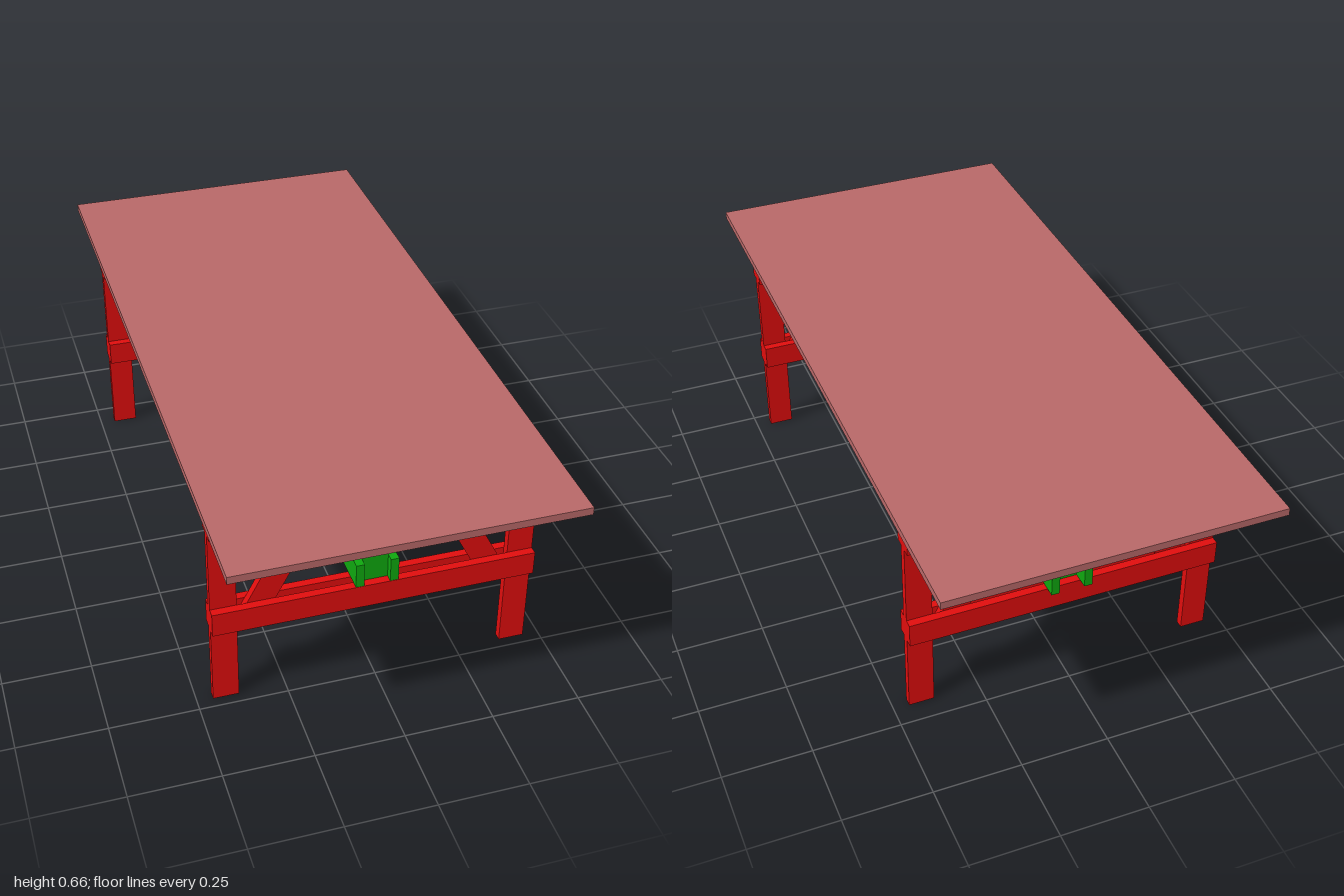
import * as THREE from 'three';

const T = 0.0233; // board thickness
const topMat = new THREE.MeshStandardMaterial({ color: 0xb86868 });
const red = new THREE.MeshStandardMaterial({ color: 0xe00d0d });
const green = new THREE.MeshStandardMaterial({ color: 0x0fa80f });

// Box given by its minimum and maximum on each axis
function board(parent, name, mat, [x0, x1], [y0, y1], [z0, z1]) {
  const mesh = new THREE.Mesh(new THREE.BoxGeometry(x1 - x0, y1 - y0, z1 - z0), mat);
  mesh.position.set((x0 + x1) / 2, (y0 + y1) / 2, (z0 + z1) / 2);
  mesh.name = name;
  parent.add(mesh);
  return mesh;
}

// Flat outline in xy, extruded evenly about z = 0
function slab(name, mat, points, depth) {
  const shape = new THREE.Shape(points.map(([x, y]) => new THREE.Vector2(x, y)));
  const geo = new THREE.ExtrudeGeometry(shape, { depth, bevelEnabled: false });
  geo.translate(0, 0, -depth / 2);
  const mesh = new THREE.Mesh(geo, mat);
  mesh.name = name;
  return mesh;
}

function createTrestle() {
  const trestle = new THREE.Group();
  trestle.name = 'trestle';
  const mid = [-T / 2, T / 2];
  for (const s of [-1, 1]) {
    // Leg
    board(trestle, 'leg', red, s < 0 ? [-0.455, -0.382] : [0.382, 0.455], [0, 0.639], mid);
    // Slanted brace, ends housed between the rails
    const brace = [[0.303, 0.265], [0.382, 0.265], [0.188, 0.639], [0.109, 0.639]];
    trestle.add(slab('brace', red, brace.map(([x, y]) => [s * x, y]), T));
    // Paired rails on both faces of the legs
    const z = s < 0 ? [-1.5 * T, -T / 2] : [T / 2, 1.5 * T];
    board(trestle, 'lowerRail', red, [-0.455, 0.455], [0.247, 0.319], z);
    board(trestle, 'upperRail', red, [-0.455, 0.455], [0.566, 0.639], z);
  }
  // Centre post carrying the stretcher
  board(trestle, 'centrePost', green, [-0.0365, 0.0365], [0.247, 0.639], mid);
  return trestle;
}

function createStretcher() {
  const stretcher = new THREE.Group();
  stretcher.name = 'stretcher';
  // Paired long beams
  for (const x of [[-0.06, -0.0365], [0.0365, 0.06]]) {
    board(stretcher, 'lowerBeam', green, x, [0.319, 0.392], [-0.74, 0.743]);
    board(stretcher, 'upperBeam', green, x, [0.468, 0.541], [-0.74, 0.743]);
  }
  // Upright spacers
  for (const z of [-0.337, 0.004, 0.345]) {
    board(stretcher, 'spacer', green, [-0.0365, 0.0365], [0.319, 0.541], [z - T / 2, z + T / 2]);
  }
  // Diagonal strut, drawn along z and turned into place
  const strut = slab('strut', green, [[0.623, 0.319], [0.666, 0.319], [0.391, 0.541], [0.348, 0.541]], 0.073);
  strut.rotation.y = Math.PI / 2;
  stretcher.add(strut);
  return stretcher;
}

export function createModel() {
  const model = new THREE.Group();
  model.name = 'trestleTable';
  board(model, 'tableTop', topMat, [-0.472, 0.472], [0.639, 0.661], [-1, 1]);
  for (const z of [0.709, -0.678]) {
    const trestle = createTrestle();
    trestle.position.z = z;
    model.add(trestle);
  }
  model.add(createStretcher());
  return model;
}
